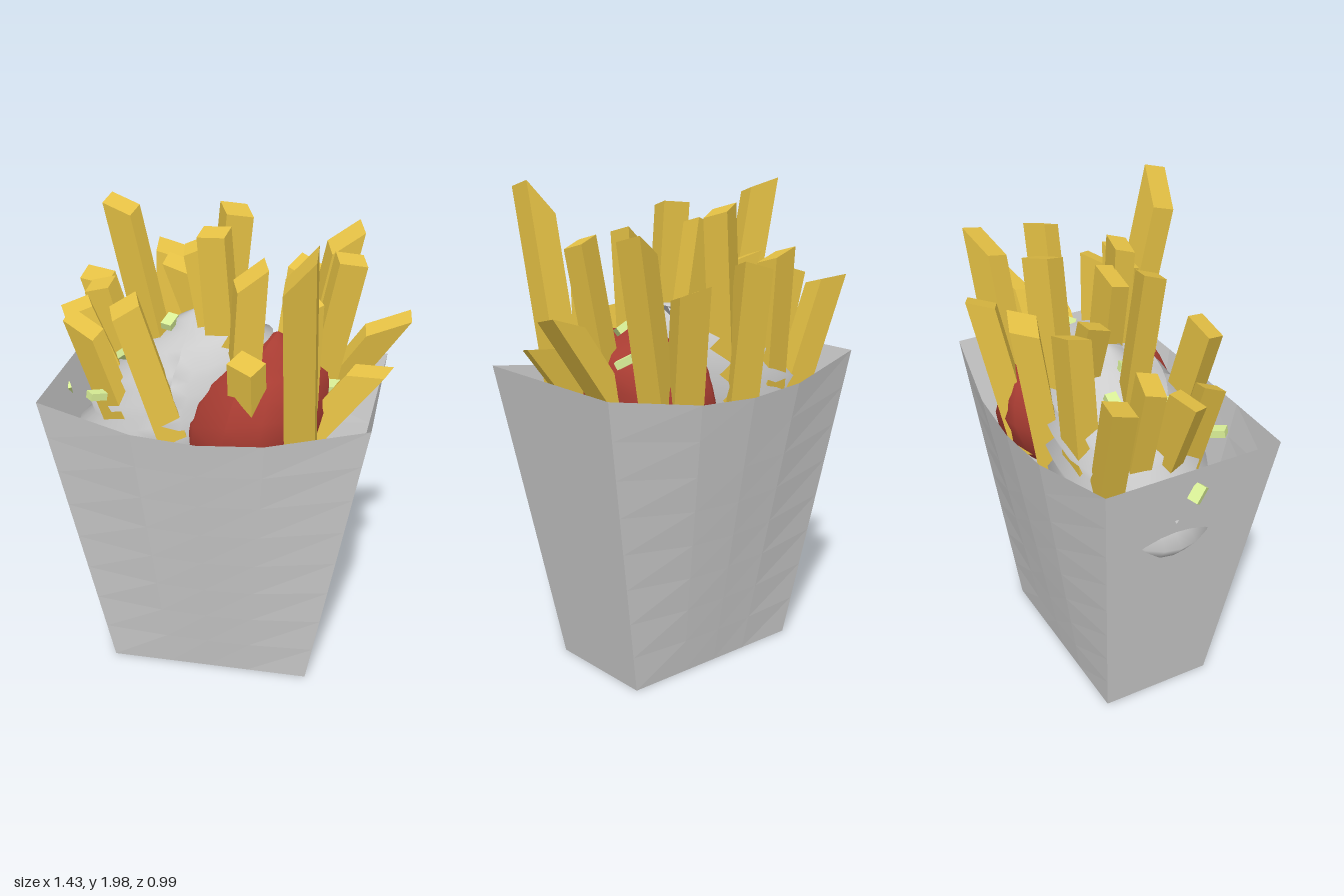
import * as THREE from 'three';

const mat = (color, extra = {}) => new THREE.MeshStandardMaterial({ color, ...extra });
const carton = mat(0xcccccc, { flatShading: true, side: THREE.DoubleSide });
const potato = mat(0xe4c044, { flatShading: true });
const cream = mat(0xcccccc, { side: THREE.DoubleSide });
const ketchup = mat(0xa83c32, { side: THREE.DoubleSide });
const herb = mat(0xd8ee96, { flatShading: true });

function add(group, name, geometry, material) {
  const mesh = new THREE.Mesh(geometry, material);
  mesh.name = name;
  group.add(mesh);
  return mesh;
}

// Open tapered carton: rows of loops from a straight-edged floor to a bowed, dipping rim
function cartonGeometry() {
  const t = [-1, -0.4, 0, 0.4, 1];
  const loop = [...t.map((u) => [u, 1]), ...t.map((u) => [-u, -1])];
  const n = loop.length, rows = 8, pos = [], index = [];
  for (let r = 0; r <= rows; r++) {
    const k = r / rows;
    for (const [u, sign] of loop) {
      const bow = 1 - u * u;
      pos.push(-0.04 + (0.42 + 0.23 * k) * u, k * (1.27 - 0.08 * bow),
        -0.02 - 0.0025 * k + sign * (0.24 + k * (0.1325 + 0.083 * bow)));
    }
  }
  for (let r = 0; r < rows; r++) {
    for (let i = 0; i < n; i++) {
      const a = r * n + i, b = r * n + (i + 1) % n;
      index.push(a, b, b + n, a, b + n, a + n);
    }
  }
  index.push(0, 5, 4, 0, 9, 5); // floor
  const g = new THREE.BufferGeometry();
  g.setAttribute('position', new THREE.Float32BufferAttribute(pos, 3));
  g.setIndex(index);
  g.computeVertexNormals();
  return g;
}

// One fry: a square stick from base to top, with a slanted cut at the top
function fryGeometry(base, top, w, d, yaw, slantX, slantZ) {
  const g = new THREE.BoxGeometry(w, 1, d);
  const p = g.attributes.position;
  const c = Math.cos(yaw), s = Math.sin(yaw);
  const axis = top.clone().sub(base);
  const len = axis.length();
  for (let i = 0; i < p.count; i++) {
    const x = p.getX(i), z = p.getZ(i);
    const k = p.getY(i) > 0 ? 1 + (slantX * x + slantZ * z) / len : 0;
    const v = base.clone().addScaledVector(axis, k);
    p.setXYZ(i, v.x + c * x + s * z, v.y, v.z - s * x + c * z);
  }
  g.computeVertexNormals();
  return g;
}

// Dollop: a lathe made oval, sheared and pulled toward its peak
function dollopGeometry(profile, sides, { rx, rz, shear, leanX, leanZ, lump }) {
  const g = new THREE.LatheGeometry(profile.map(([r, h]) => new THREE.Vector2(r, h)), sides);
  const p = g.attributes.position;
  for (let i = 0; i < p.count; i++) {
    const x = p.getX(i), y = p.getY(i), z = p.getZ(i);
    const a = Math.atan2(z, x);
    const k = 1 + lump * Math.sin(3 * a + 7 * y);
    const lift = Math.max(0, y);
    p.setXYZ(i, x * rx * k + leanX * lift,
      y + shear * x * rx + lump * 0.3 * Math.hypot(x, z) * Math.sin(2 * a), z * rz * k + leanZ * lift);
  }
  g.computeVertexNormals();
  return g;
}

// Stacked ridges that shrink toward the top
function ridgedProfile(count) {
  const radius = (i) => 1.03 * Math.sqrt(1 - (i / (count + 0.1)) ** 2.2);
  const profile = [[0, -0.14], [0.88, -0.08]];
  for (let i = 0; i <= count; i++) {
    const h = 0.01 + 0.115 * i - 0.004 * i * i;
    profile.push([radius(i), h]);
    if (i < count) profile.push([radius(i + 1) * 0.92, h + 0.04]);
  }
  profile.push([0, 0.51]);
  return profile;
}

// Fries: top x, y, z, then x where each leaves the sauce, turn and slant of the cut
const FRIES = [
  [0.34, 1.9, 0.42, 0.335, 0.05, 1.2],
  [0.12, 1.46, 0.25, 0.12, -0.5, -0.2],
  [0.11, 1.76, 0.11, 0.08, 0.4, 0.7],
  [0.32, 1.66, 0.12, 0.31, 0.7, 0.3],
  [-0.36, 1.64, 0.21, -0.24, 0.3, 0.5],
  [-0.44, 1.95, -0.08, -0.29, -0.3, -0.3],
  [-0.56, 1.59, -0.14, -0.47, -0.2, 0.3],
  [-0.63, 1.53, -0.03, -0.51, 0.4, 0.3],
  [-0.62, 1.57, -0.3, -0.51, -0.2, -0.1],
  [-0.56, 1.51, 0.11, -0.47, -0.4, -0.5],
  [-0.3, 1.7, -0.32, -0.3, 0.1, -0.3],
  [-0.02, 1.89, -0.29, -0.08, 0.5, -0.2],
  [-0.09, 1.68, -0.41, -0.1, -0.4, 0.3],
  [0.25, 1.62, -0.43, 0.21, -0.4, -0.3],
  [-0.23, 1.68, -0.19, -0.07, -0.2, -0.3],
  [-0.13, 1.81, -0.06, -0.03, 0.1, 0.4],
  [-0.05, 1.89, 0.02, 0, -0.2, 0.1],
  [0.42, 1.79, -0.33, 0.31, 0.4, 0.7],
  [0.62, 1.51, -0.14, 0.44, 0.3, 0.5],
  [0.47, 1.79, -0.06, 0.36, 0.4, -0.2],
  [0.57, 1.38, 0.05, 0.47, -0.2, 0.1],
];

// Herb flakes: x, y, z
const FLAKES = [
  [-0.43, 1.47, -0.22], [-0.25, 1.48, -0.06], [-0.41, 1.37, 0.03], [-0.49, 1.25, 0.2],
  [-0.69, 1.16, -0.01], [0.06, 1.43, -0.08], [0.1, 1.41, 0], [0.26, 1.44, -0.05],
  [0.26, 1.4, -0.21], [0.36, 1.34, -0.18], [0, 1.37, 0.08], [0.43, 1.28, 0],
];

export function createModel() {
  const model = new THREE.Group();
  model.name = 'loadedFries';
  add(model, 'carton', cartonGeometry(), carton);

  // White sauce in stacked ridges
  add(model, 'creamSauce', dollopGeometry(ridgedProfile(5), 28,
    { rx: 0.41, rz: 0.3, shear: 0.3, leanX: 0.24, leanZ: -0.06, lump: 0 }), cream).position.set(-0.26, 1.03, -0.06);

  // Red sauce, a fuller lump with a small peak, turned so its front reaches left
  const redProfile = [[0, -0.2], [0.75, -0.16], [1, -0.02], [1, 0.1], [0.92, 0.18], [0.82, 0.25],
    [0.64, 0.29], [0.4, 0.31], [0.2, 0.37], [0, 0.4]];
  const red = add(model, 'redSauce', dollopGeometry(redProfile, 12,
    { rx: 0.28, rz: 0.37, shear: 0.05, leanX: 0.15, leanZ: -0.1, lump: 0.07 }), ketchup);
  red.position.set(0.12, 1.07, -0.01);
  red.rotation.set(-0.12, -0.25, 0);

  // Fries spread outward in depth and continue below the sauce along their own lean
  const fries = new THREE.Group();
  fries.name = 'fries';
  FRIES.forEach(([tx, ty, tz, bx, yaw, slant]) => {
    const top = new THREE.Vector3(tx, ty, tz);
    const exit = new THREE.Vector3(bx, 1.25, tz * (1 - (tz > 0 ? 2 : 0.9) * tz * tz));
    const base = top.clone().lerp(exit, (ty - 0.95) / (ty - 1.25));
    const width = 0.115 * top.distanceTo(base) / (ty - 0.95);
    const depth = 0.075 + 0.07 * Math.abs(tz);
    add(fries, 'fry', fryGeometry(base, top, width, depth, yaw, slant, -0.3), potato);
  });
  model.add(fries);

  // Chopped herbs on the sauces
  const flakes = new THREE.Group();
  flakes.name = 'herbs';
  const flake = new THREE.BoxGeometry(0.07, 0.03, 0.045);
  FLAKES.forEach(([x, y, z], i) => {
    const m = add(flakes, 'herbFlake', flake, herb);
    m.position.set(x, y, z);
    m.rotation.set(0.5 * Math.sin(i * 2.1), i * 1.3, x < -0.6 ? 1.3 : 0.5 * Math.cos(i * 1.7));
  });
  model.add(flakes);
  return model;
}
